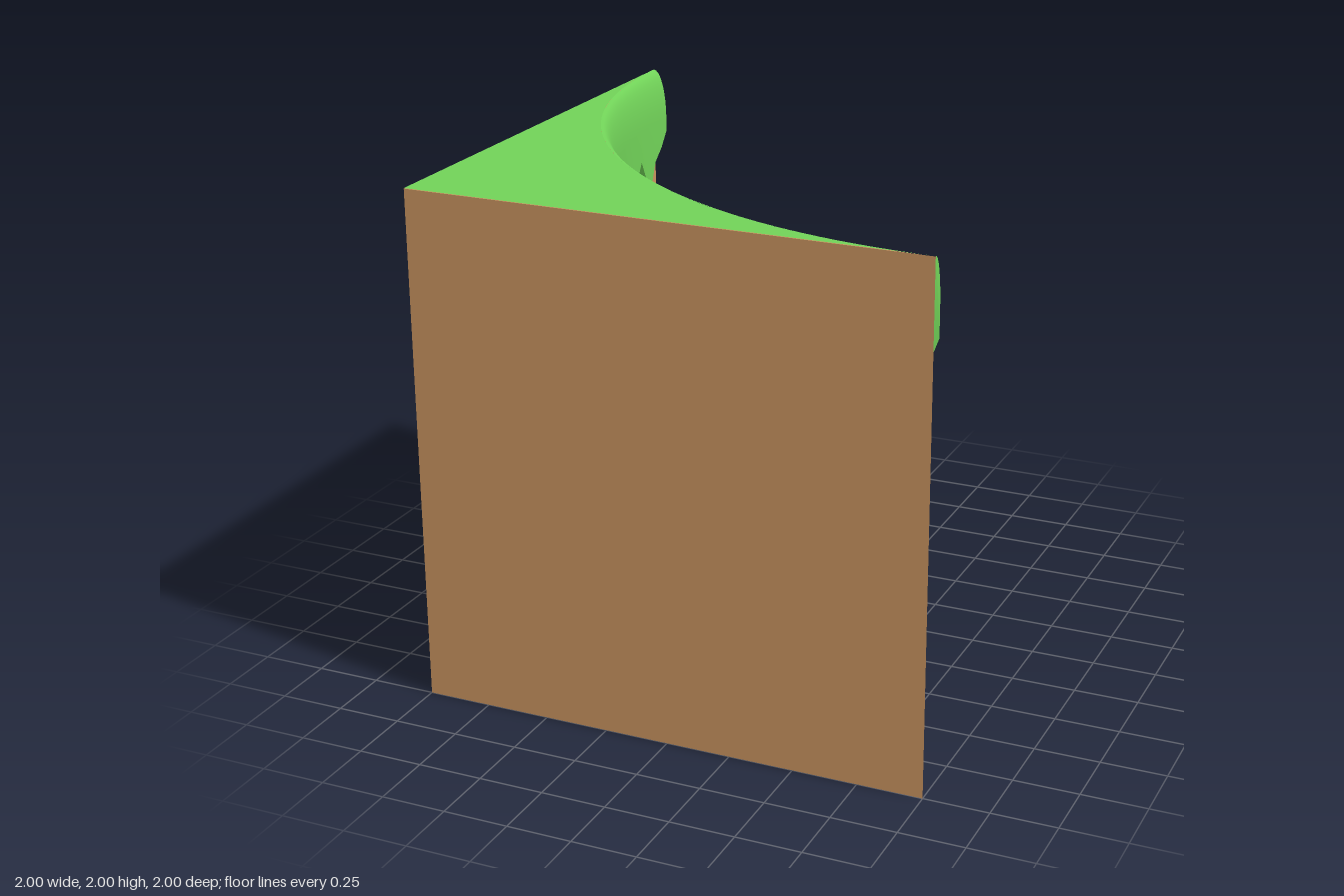
import * as THREE from 'three';
import { toCreasedNormals } from 'three/addons/utils/BufferGeometryUtils.js';

const WALL_R = 2;      // concave wall, centred on the corner x = 1, z = -1
const LIP_R = 1.945;   // face of the overhanging grass
const HEIGHT = 2;

// Ragged lower edge of the grass: [angle in degrees, height]
const JAGS = [
  [0, 1.74], [1.5, 1.68], [3.5, 1.63], [5.3, 1.51], [8.3, 1.67], [10.7, 1.59], [12.8, 1.69], [14.3, 1.66],
  [16.7, 1.52], [20.5, 1.65], [22.4, 1.6], [24.3, 1.72], [25.9, 1.58], [26.9, 1.66], [28.9, 1.51], [31.3, 1.65],
  [33, 1.58], [36.3, 1.69], [40.4, 1.58], [40.9, 1.69], [42.4, 1.53], [44.8, 1.67], [47.3, 1.57], [49.1, 1.67],
  [50, 1.54], [52.4, 1.69], [55.4, 1.58], [57, 1.67], [59.2, 1.51], [63.5, 1.65], [66.2, 1.58], [68.2, 1.72],
  [70.2, 1.6], [72, 1.65], [75.3, 1.51], [77.4, 1.66], [79.3, 1.57], [82.4, 1.65], [84.5, 1.5], [86.5, 1.67],
  [88.7, 1.58], [90, 1.7],
];
// The shallow step near the middle is a plain slope
JAGS[18] = [38, 1.64];

// Plan of the block: two straight sides closed by the concave arc (y = -z)
function planShape() {
  const shape = new THREE.Shape();
  shape.moveTo(-1, -1);
  shape.lineTo(1, -1);
  shape.absarc(1, 1, WALL_R, -Math.PI / 2, -Math.PI, true);
  shape.closePath();
  return shape;
}

// Rounded grass overhang, one cross-section per point of the ragged edge
function lipGeometry() {
  const steps = 8;
  const rows = steps + 3;
  const positions = [];
  const index = [];
  for (const [deg, edgeY] of JAGS) {
    const a = THREE.MathUtils.degToRad(deg);
    const section = [];
    for (let k = 0; k <= steps; k++) {
      const t = (k / steps) * Math.PI / 2;
      section.push([WALL_R - (WALL_R - LIP_R) * Math.sin(t), HEIGHT - 0.2 * (1 - Math.cos(t))]);
    }
    section.push([LIP_R, edgeY], [WALL_R, edgeY - 0.02]);
    for (const [r, y] of section) positions.push(1 - r * Math.cos(a), y, -1 + r * Math.sin(a));
  }
  for (let j = 0; j < JAGS.length - 1; j++) {
    for (let k = 0; k < rows - 1; k++) {
      const a = j * rows + k, b = a + rows;
      index.push(a, b, a + 1, b, b + 1, a + 1);
    }
  }
  // End caps
  const last = (JAGS.length - 1) * rows;
  for (let k = 1; k < rows - 1; k++) {
    index.push(0, k, k + 1, last, last + k + 1, last + k);
  }
  const geometry = new THREE.BufferGeometry();
  geometry.setAttribute('position', new THREE.Float32BufferAttribute(positions, 3));
  geometry.setIndex(index);
  return toCreasedNormals(geometry, 0.7);
}

export function createModel() {
  const group = new THREE.Group();
  group.name = 'grassyCliffInnerCorner';
  const dirt = new THREE.MeshStandardMaterial({ color: 0xc9935f });
  const grass = new THREE.MeshStandardMaterial({ color: 0x71d258 });

  const add = (name, geometry, material) => {
    const mesh = new THREE.Mesh(geometry, material);
    mesh.name = name;
    group.add(mesh);
    return mesh;
  };

  // Earth block, a hair below the turf
  const block = new THREE.ExtrudeGeometry(planShape(), { depth: HEIGHT - 0.002, bevelEnabled: false, curveSegments: 40 });
  block.rotateX(-Math.PI / 2);
  add('earthBlock', toCreasedNormals(block, 0.3), dirt);

  // Flat turf on top
  const turf = new THREE.ShapeGeometry(planShape(), 40);
  turf.rotateX(-Math.PI / 2);
  turf.translate(0, HEIGHT, 0);
  add('grassTop', turf, grass);

  // Overhanging ragged turf along the curve
  add('grassOverhang', lipGeometry(), grass);

  return group;
}
